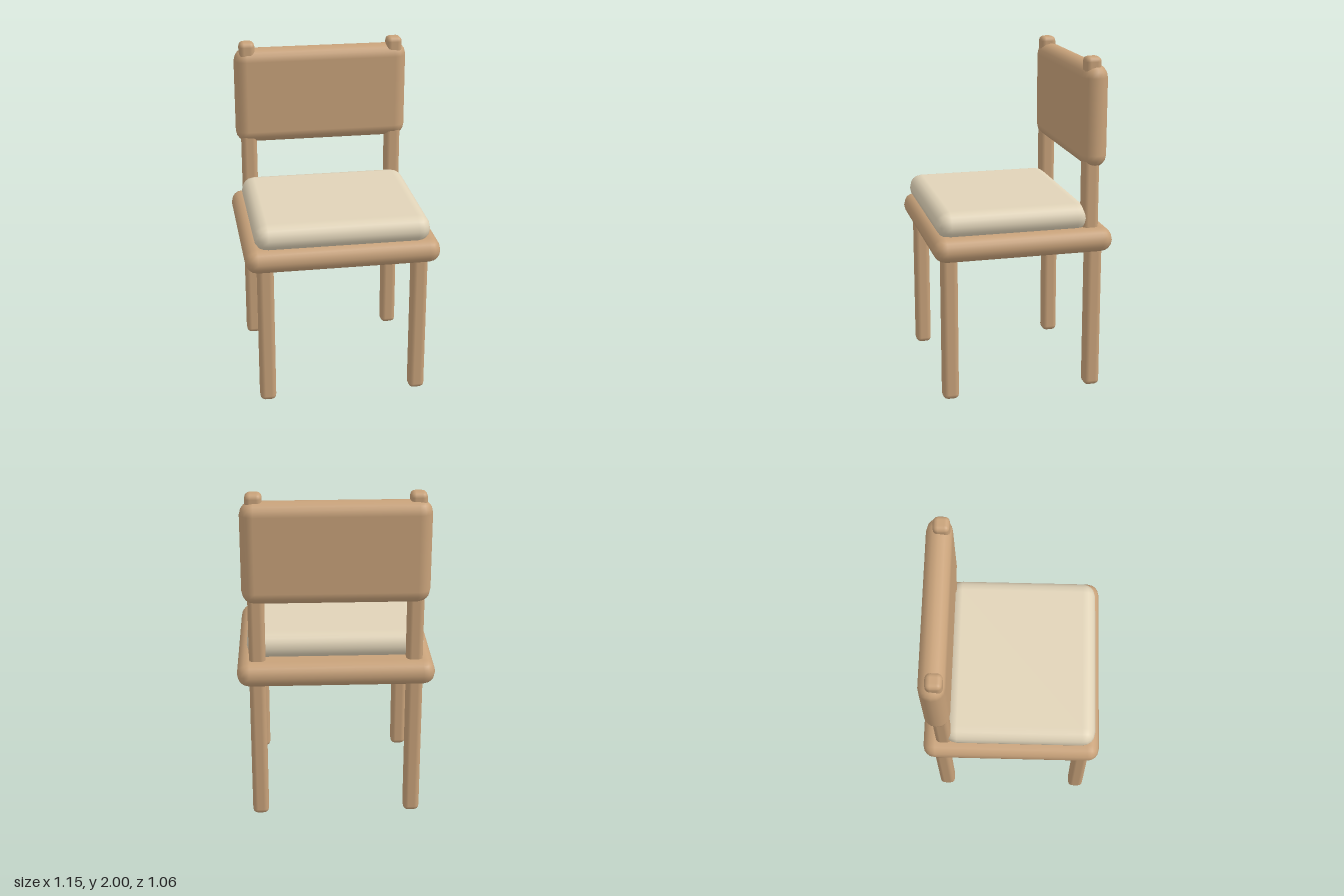
import * as THREE from 'three';
import { RoundedBoxGeometry } from 'three/addons/geometries/RoundedBoxGeometry.js';

export function createModel() {
  const chair = new THREE.Group();
  chair.name = 'chair';
  const wood = new THREE.MeshStandardMaterial({ color: 0xc8a27a });
  const fabric = new THREE.MeshStandardMaterial({ color: 0xe0d3b8 });

  // Rounded block given by its lower and upper corners
  function block(name, [x0, y0, z0], [x1, y1, z1], radius, material) {
    const geometry = new RoundedBoxGeometry(x1 - x0, y1 - y0, z1 - z0, 2, radius);
    const mesh = new THREE.Mesh(geometry, material);
    mesh.position.set((x0 + x1) / 2, (y0 + y1) / 2, (z0 + z1) / 2);
    mesh.name = name;
    chair.add(mesh);
  }

  // Seat, cushion and backrest panel
  block('seat', [-0.577, 0.858, -0.532], [0.577, 1.003, 0.532], 0.072, wood);
  block('cushion', [-0.52, 0.98, -0.405], [0.52, 1.14, 0.502], 0.08, fabric);
  block('backrest', [-0.538, 1.357, -0.498], [0.538, 1.956, -0.346], 0.076, wood);

  // Legs and backrest posts, mirrored left and right
  const half = 0.048, round = 0.03;
  for (const side of [1, -1]) {
    const x = side * 0.458;
    const label = side > 0 ? 'left' : 'right';
    const bar = (name, z, y0, y1) =>
      block(label + name, [x - half, y0, z - half], [x + half, y1, z + half], round, wood);
    bar('FrontLeg', 0.433, 0, 0.92);
    bar('BackLeg', -0.433, 0, 0.92);
    bar('BackPost', -0.407, 0.93, 2);
  }
  return chair;
}
